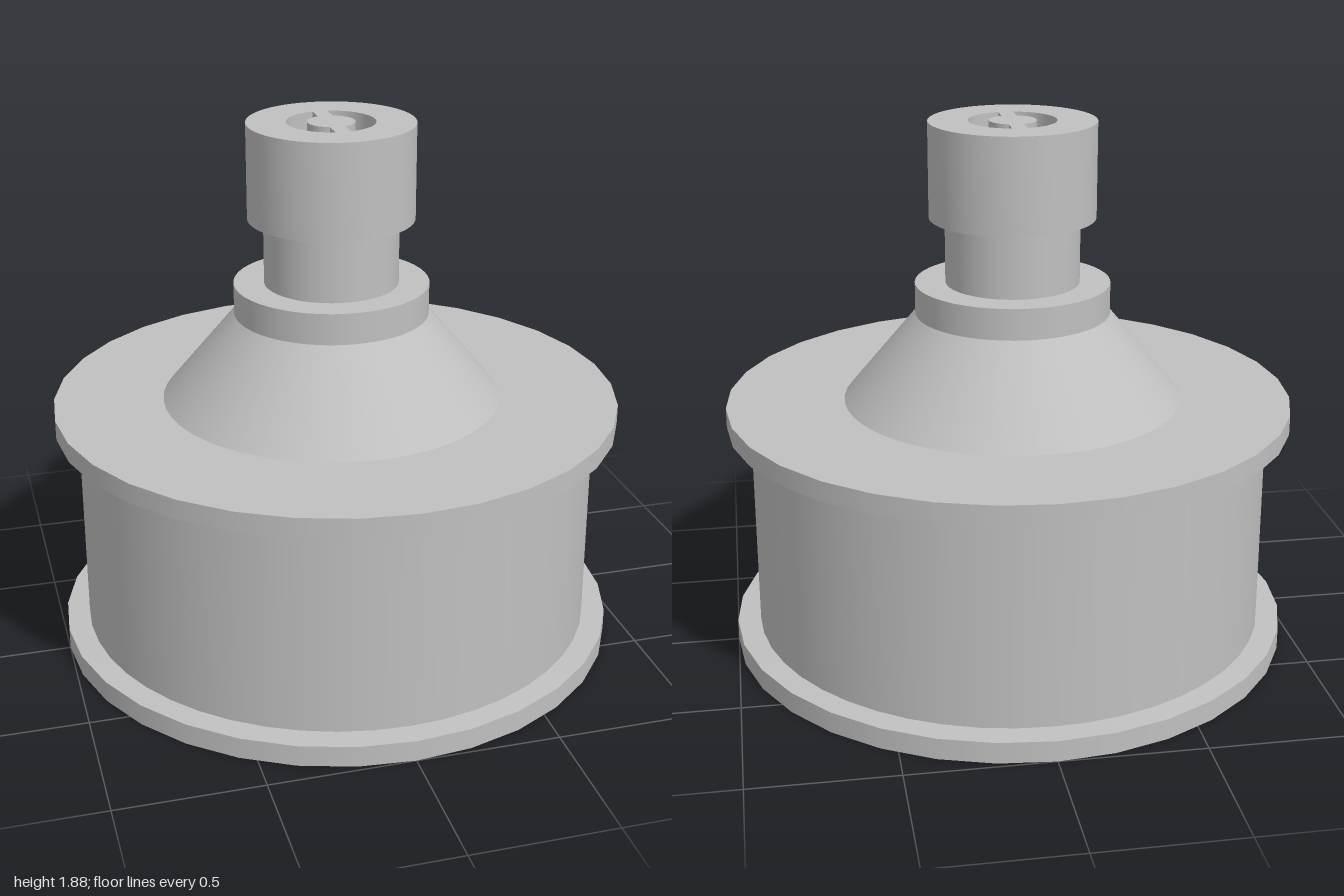
import * as THREE from 'three';
import { mergeGeometries, toCreasedNormals } from 'three/addons/utils/BufferGeometryUtils.js';

const metal = new THREE.MeshStandardMaterial({ color: 0xc0c0c0 });
metal.name = 'grey metal';

function mesh(name, geometry) {
  const m = new THREE.Mesh(geometry, metal);
  m.name = name;
  return m;
}

// Turned part: every run is smooth, with hard edges between runs
function turned(name, segments, ...runs) {
  const parts = runs.map(run =>
    new THREE.LatheGeometry(run.map(([r, y]) => new THREE.Vector2(r, y)), segments));
  return mesh(name, mergeGeometries(parts));
}

// Splits a profile into straight runs with a hard edge at every point
const straight = points => points.slice(1).map((p, i) => [points[i], p]);

// C-shaped slot opening, on the right (side 1) or left (side -1)
function slot(side) {
  const outer = 0.152, inner = 0.082, half = 0.026;
  const mid = side > 0 ? 0 : Math.PI;
  const a = Math.PI / 2 - Math.asin(half / outer);
  const b = Math.PI / 2 - Math.asin(half / inner);
  const path = new THREE.Path();
  path.absarc(0, 0, outer, mid - a, mid + a, false);
  path.absarc(0, 0, inner, mid + b, mid - b, true);
  path.closePath();
  return path;
}

export function createModel() {
  const model = new THREE.Group();
  model.name = 'flangedFitting';

  // Flanged drum, with a flared mouth and bore underneath
  model.add(turned('bore', 48, ...straight([[0, 0.8], [0.285, 0.8], [0.285, 0.17]])));
  model.add(turned('flaredMouth', 48,
    [[0.285, 0.17], [0.33, 0.125], [0.39, 0.08], [0.46, 0.042], [0.54, 0.016], [0.64, 0]]));
  model.add(turned('bottomFlange', 32,
    ...straight([[0.64, 0], [1, 0], [1, 0.075], [0.9, 0.08]])));
  model.add(turned('drum', 48, [[0.917, 0.075], [0.917, 0.83]]));
  model.add(turned('topFlange', 32,
    ...straight([[0.9, 0.825], [1, 0.83], [1, 0.9], [0, 0.9]])));

  // Upper stack sits slightly off the drum's axis
  const stack = new THREE.Group();
  stack.name = 'upperStack';
  stack.position.set(-0.014, 0, -0.004);
  model.add(stack);
  stack.add(turned('cone', 48, [[0.6, 0.899], [0.342, 1.21]]));
  stack.add(turned('collar', 48, ...straight([[0.342, 1.21], [0.342, 1.32], [0, 1.32]])));
  stack.add(turned('neck', 48, [[0.235, 1.32], [0.235, 1.56]]));

  // Cap with two curved slots in its top
  const disc = new THREE.Shape();
  disc.absarc(0, 0, 0.29, 0, Math.PI * 2, false);
  disc.holes.push(slot(1), slot(-1));
  const capGeometry = new THREE.ExtrudeGeometry(disc, {
    depth: 0.335, bevelEnabled: false, curveSegments: 24,
  });
  capGeometry.rotateX(-Math.PI / 2);
  const cap = mesh('cap', toCreasedNormals(capGeometry, 0.6));
  cap.position.y = 1.55;
  stack.add(cap);

  const floor = mesh('slotFloor', new THREE.CircleGeometry(0.16, 32));
  floor.rotation.x = -Math.PI / 2;
  floor.position.y = 1.77;
  stack.add(floor);

  return model;
}
